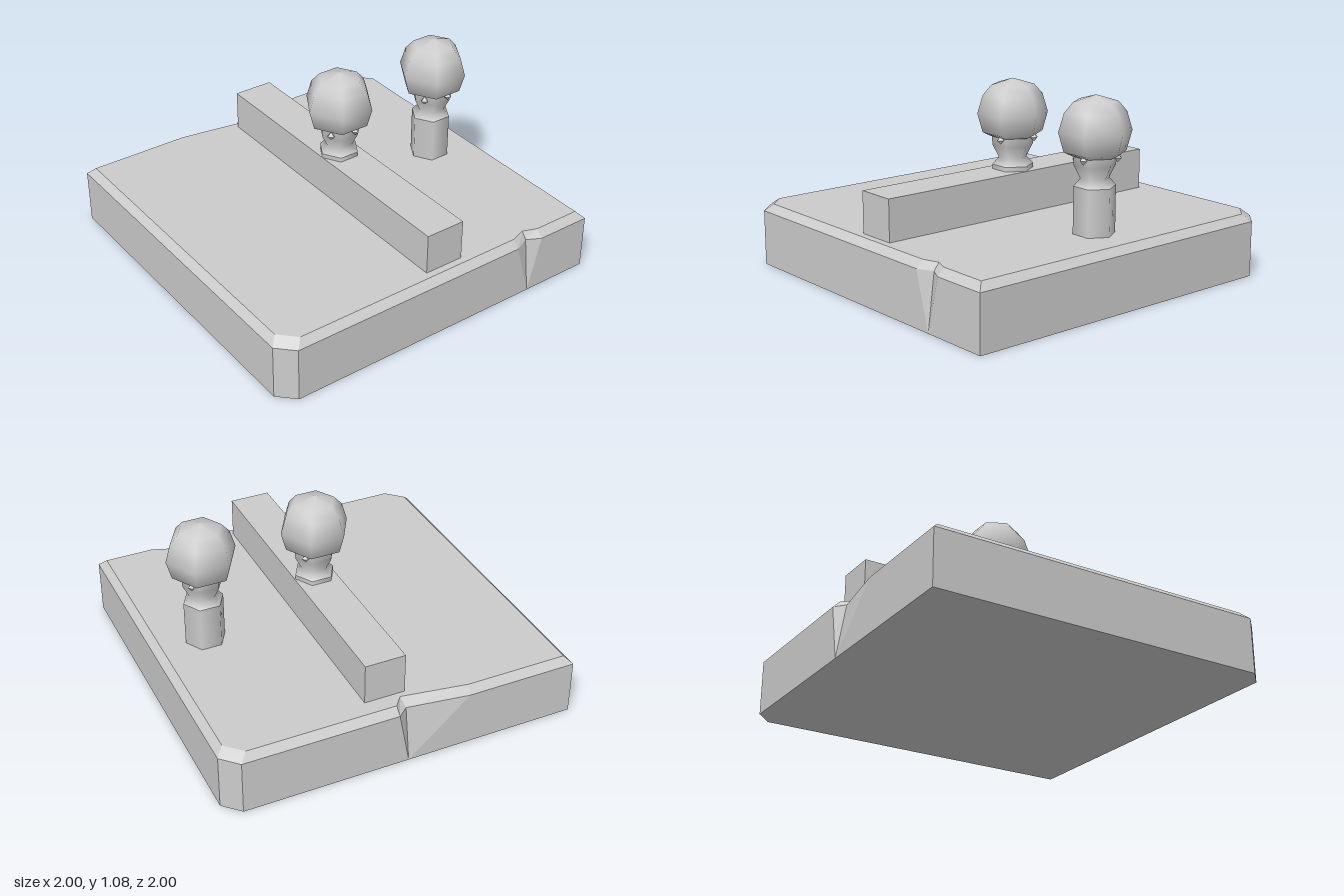
import * as THREE from 'three';

const flat = new THREE.MeshStandardMaterial({ color: 0xcccccc, flatShading: true });
const smooth = new THREE.MeshStandardMaterial({ color: 0xcccccc, side: THREE.DoubleSide });

function add(parent, name, geometry, material, x = 0, y = 0, z = 0) {
  const mesh = new THREE.Mesh(geometry, material);
  mesh.name = name;
  mesh.position.set(x, y, z);
  parent.add(mesh);
  return mesh;
}

// Slab with two cut corners, a bevelled top edge and two chipped notches
function slabGeometry() {
  const rings = [
    { y: 0, p: [[1, 0.91], [1, -0.6], [1, -0.6], [1, -0.6], [1, -1], [-0.91, -1],
      [-1, -0.91], [-1, 0.02], [-1, 0.02], [-1, 0.02], [-1, 1], [0.91, 1]] },
    { y: 0.31, p: [[1, 0.91], [1, -0.51], [0.96, -0.6], [1, -0.68], [1, -1], [-0.91, -1],
      [-1, -0.91], [-1, -0.04], [-0.95, 0.02], [-1, 0.37], [-1, 1], [0.91, 1]] },
    { y: 0.35, p: [[0.96, 0.87], [0.96, -0.51], [0.93, -0.6], [0.96, -0.68], [0.96, -0.96], [-0.87, -0.96],
      [-0.96, -0.87], [-0.96, -0.04], [-0.9, 0.01], [-0.96, 0.38], [-0.96, 0.96], [0.87, 0.96]] },
  ].map(({ y, p }) => p.map(([x, z]) => new THREE.Vector3(x, y, z)));
  const positions = [];
  const tri = (a, b, c) => {
    if (a.equals(b) || b.equals(c) || c.equals(a)) return;
    for (const v of [a, b, c]) positions.push(v.x, v.y, v.z);
  };
  const n = rings[0].length;
  for (let r = 0; r < 2; r++) {
    for (let i = 0; i < n; i++) {
      const j = (i + 1) % n, lo = rings[r], hi = rings[r + 1];
      tri(lo[i], lo[j], hi[j]);
      tri(lo[i], hi[j], hi[i]);
    }
  }
  const cap = (ring, up) => {
    const outline = ring.filter((v, i) => !v.equals(ring[(i + 1) % n]));
    const faces = THREE.ShapeUtils.triangulateShape(outline.map(v => new THREE.Vector2(v.x, -v.z)), []);
    for (const [a, b, c] of faces) {
      if (up) tri(outline[a], outline[b], outline[c]);
      else tri(outline[a], outline[c], outline[b]);
    }
  };
  cap(rings[2], true);
  cap(rings[0], false);
  const geometry = new THREE.BufferGeometry();
  geometry.setAttribute('position', new THREE.Float32BufferAttribute(positions, 3));
  geometry.computeVertexNormals();
  return geometry;
}

// Six-sided turned form from [radius, height] pairs
const turned = profile => new THREE.LatheGeometry(profile.map(([r, y]) => new THREE.Vector2(r, y)), 6);

// Post with a pinched neck, round head and three small beads
function createPost(name, z, bottom) {
  const post = new THREE.Group();
  post.name = name;
  post.position.z = z;
  add(post, 'shaft', turned([[0.113, bottom], [0.113, 0.605]]), smooth);
  add(post, 'neck', turned([[0.113, 0.605], [0.077, 0.645], [0.112, 0.715], [0.115, 0.77]]), smooth);
  add(post, 'head', turned([[0, 0.755], [0.12, 0.762], [0.166, 0.785], [0.195, 0.89],
    [0.165, 0.99], [0.118, 1.044], [0, 1.08]]), smooth);
  const beads = [[0.11, 0.755, -0.03], [0.05, 0.736, 0.088], [-0.08, 0.755, -0.085]];
  for (const [x, y, bz] of beads) add(post, 'bead', new THREE.OctahedronGeometry(0.025), flat, x, y, bz);
  return post;
}

export function createModel() {
  const model = new THREE.Group();
  model.name = 'slabWithPosts';
  add(model, 'slab', slabGeometry(), flat);
  add(model, 'beam', new THREE.BoxGeometry(1.79, 0.23, 0.23), flat, 0.025, 0.465, -0.063);
  model.add(createPost('frontPost', -0.06, 0.575), createPost('backPost', -0.71, 0.35));
  return model;
}
